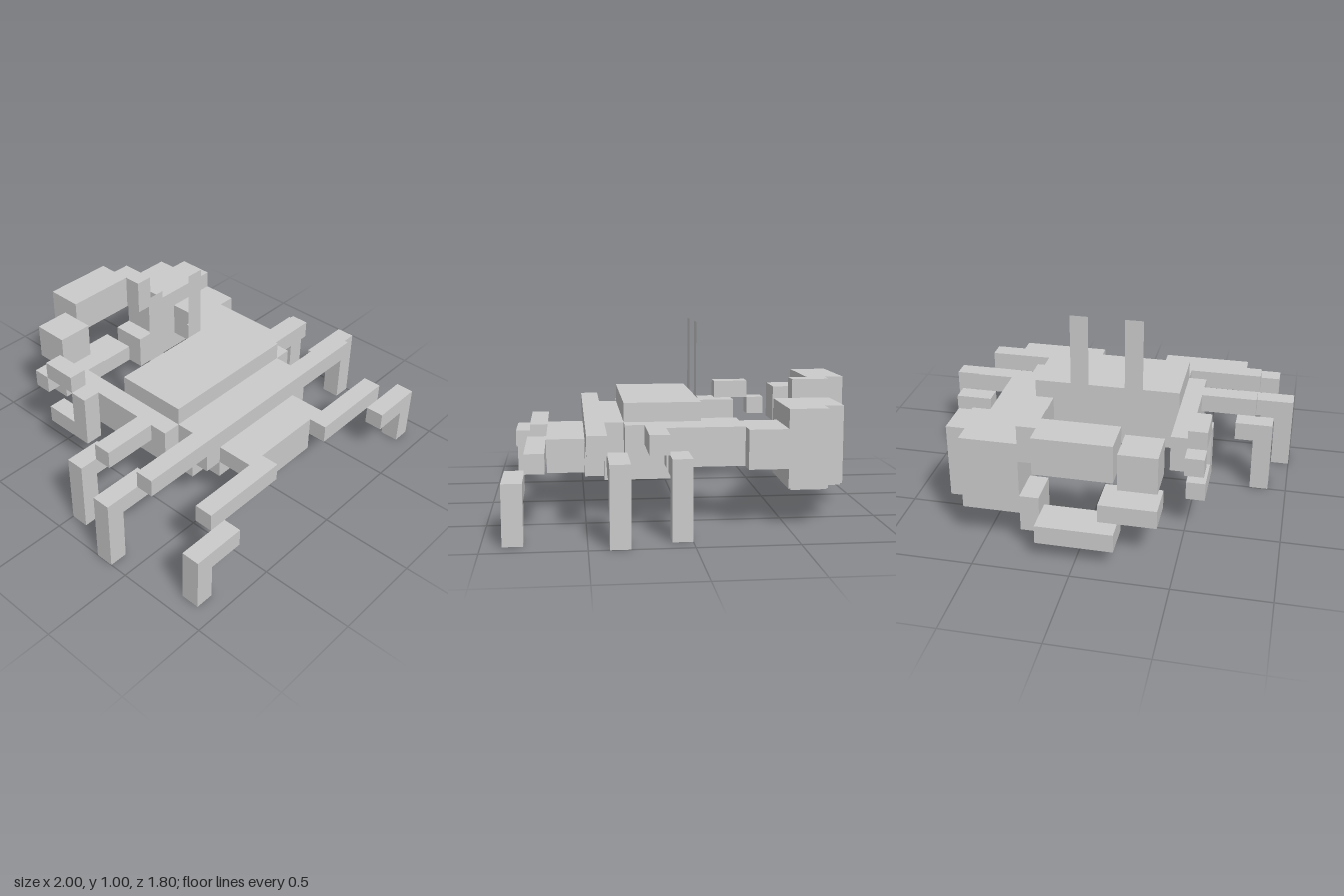
import * as THREE from 'three';

const material = new THREE.MeshStandardMaterial({ color: 0xcccccc, flatShading: true });
const thinMaterial = new THREE.MeshStandardMaterial({ color: 0xcccccc, side: THREE.DoubleSide });
const U = 0.1; // one block

// Box spanning the given ranges, measured in blocks
function block(parent, name, [x0, x1], [y0, y1], [z0, z1]) {
  const mesh = new THREE.Mesh(new THREE.BoxGeometry((x1 - x0) * U, (y1 - y0) * U, (z1 - z0) * U), material);
  mesh.position.set((x0 + x1) / 2 * U, (y0 + y1) / 2 * U, (z0 + z1) / 2 * U);
  mesh.name = name;
  parent.add(mesh);
}

function part(parent, name) {
  const group = new THREE.Group();
  group.name = name;
  parent.add(group);
  return group;
}

export function createModel() {
  const model = new THREE.Group();
  model.name = 'crab';

  // Layered body, from belly to shell
  const body = part(model, 'body');
  block(body, 'belly', [-4, 4], [2, 3], [0, 4]);
  block(body, 'bellyFront', [-3, 3], [2, 3], [4, 5]);
  block(body, 'waist', [-5, 5], [3, 5], [-1, 3]);
  block(body, 'chest', [-4, 4], [3, 5], [3, 5]);
  block(body, 'shell', [-4, 4], [5, 6], [-1, 3]);
  block(body, 'tailLower', [-2, 2], [2, 3], [5, 7]);
  block(body, 'tailUpper', [-3, 3], [3, 4], [5, 7]);
  block(body, 'tailEnd', [-2, 2], [2, 4], [6, 7]);

  // Three mirrored pairs of legs: inner bar, outer bar, foot
  const legs = [
    { name: 'frontLeg', inner: [2, 7], outer: [6, 9], y: 3, z: 7, dz: 1 },
    { name: 'middleLeg', inner: [4, 8], outer: [7, 10], y: 4, z: 4, dz: -1 },
    { name: 'backLeg', inner: [5, 8], outer: [7, 9], y: 4, z: 1, dz: -1 },
  ];
  for (const side of [1, -1]) {
    const span = ([a, b]) => (side > 0 ? [a, b] : [-b, -a]);
    for (const { name, inner, outer, y, z, dz } of legs) {
      const leg = part(model, (side > 0 ? 'left ' : 'right ') + name);
      const zo = z + dz;
      block(leg, 'upperLeg', span(inner), [y, y + 1], [z, z + 1]);
      block(leg, 'lowerLeg', span(outer), [y - 1, y], [zo, zo + 1]);
      block(leg, 'foot', span([outer[1] - 1, outer[1]]), [0, y - 1], [zo, zo + 1]);
    }
    // Paper-thin eye stalks
    const stalk = new THREE.Mesh(new THREE.PlaneGeometry(0.1, 0.4), thinMaterial);
    stalk.position.set(side * 0.15, 0.8, -0.1);
    stalk.name = 'eyeStalk';
    model.add(stalk);
  }

  // Large claw on the left
  const big = part(model, 'largeClaw');
  block(big, 'arm', [4, 6], [3, 5], [-5, 1]);
  block(big, 'armInner', [3, 4], [3, 5], [-3, -1]);
  block(big, 'elbow', [6, 7], [3, 5], [-5, -3]);
  block(big, 'palm', [3, 6], [2, 6], [-8, -5]);
  block(big, 'palmSide', [6, 7], [2, 6], [-7, -5]);
  block(big, 'upperJawRoot', [2, 3], [5, 7], [-8, -6]);
  block(big, 'upperJaw', [-2, 2], [5, 7], [-9, -7]);
  block(big, 'upperJawTip', [-4, -2], [4, 6], [-8, -6]);
  block(big, 'lowerJawRoot', [2, 3], [1, 3], [-8, -6]);
  block(big, 'lowerJaw', [-2, 2], [1, 2], [-9, -7]);
  block(big, 'lowerJawTip', [-4, -1], [2, 3], [-8, -6]);

  // Small claw on the right
  const small = part(model, 'smallClaw');
  block(small, 'arm', [-5, -4], [3, 5], [-4, -1]);
  block(small, 'palm', [-6, -5], [3, 5], [-3, -2]);
  block(small, 'upperJaw', [-6, -5], [5, 6], [-5, -3]);
  block(small, 'upperJawTip', [-6, -5], [4, 5], [-6, -5]);
  block(small, 'lowerJaw', [-6, -5], [2, 3], [-5, -2]);

  return model;
}
